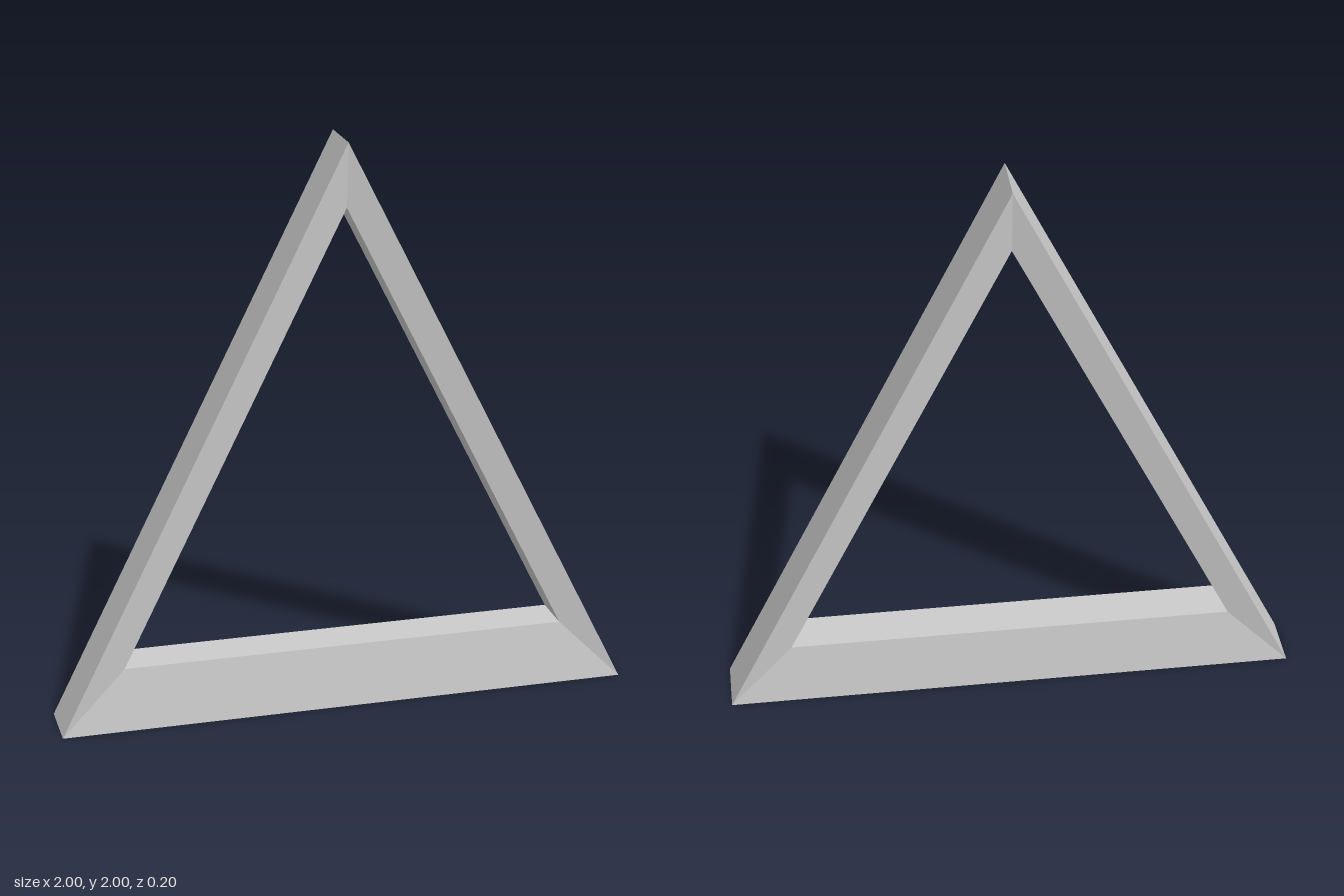
import * as THREE from 'three';

const corners = [[-1, 0], [1, 0], [0, 2]]; // counter-clockwise from the front
const halfDepth = 0.1;
const inset = 7 / 9; // opening: outer outline scaled about (0, 1, 0)

// Mitred cross-section at a corner: outer front, outer back, inner back, inner front
function section([x, y]) {
  const point = (s, z) => [x * s, 1 + (y - 1) * s, z * s];
  return [
    point(1, halfDepth), point(1, -halfDepth),
    point(inset, -halfDepth), point(inset, halfDepth),
  ];
}

// Four-sided bar joining two cross-sections
function barGeometry(a, b) {
  const positions = [];
  for (let k = 0; k < 4; k++) {
    const n = (k + 1) % 4;
    positions.push(...a[k], ...a[n], ...b[n], ...a[k], ...b[n], ...b[k]);
  }
  const geometry = new THREE.BufferGeometry();
  geometry.setAttribute('position', new THREE.Float32BufferAttribute(positions, 3));
  geometry.computeVertexNormals();
  return geometry;
}

export function createModel() {
  const group = new THREE.Group();
  group.name = 'triangleFrame';
  const material = new THREE.MeshStandardMaterial({ color: 0xcccccc, flatShading: true });

  // Base bar and the two sloping side bars
  ['baseBar', 'leftBar', 'rightBar'].forEach((name, i) => {
    const geometry = barGeometry(section(corners[i]), section(corners[(i + 1) % 3]));
    const bar = new THREE.Mesh(geometry, material);
    bar.name = name;
    group.add(bar);
  });
  return group;
}
